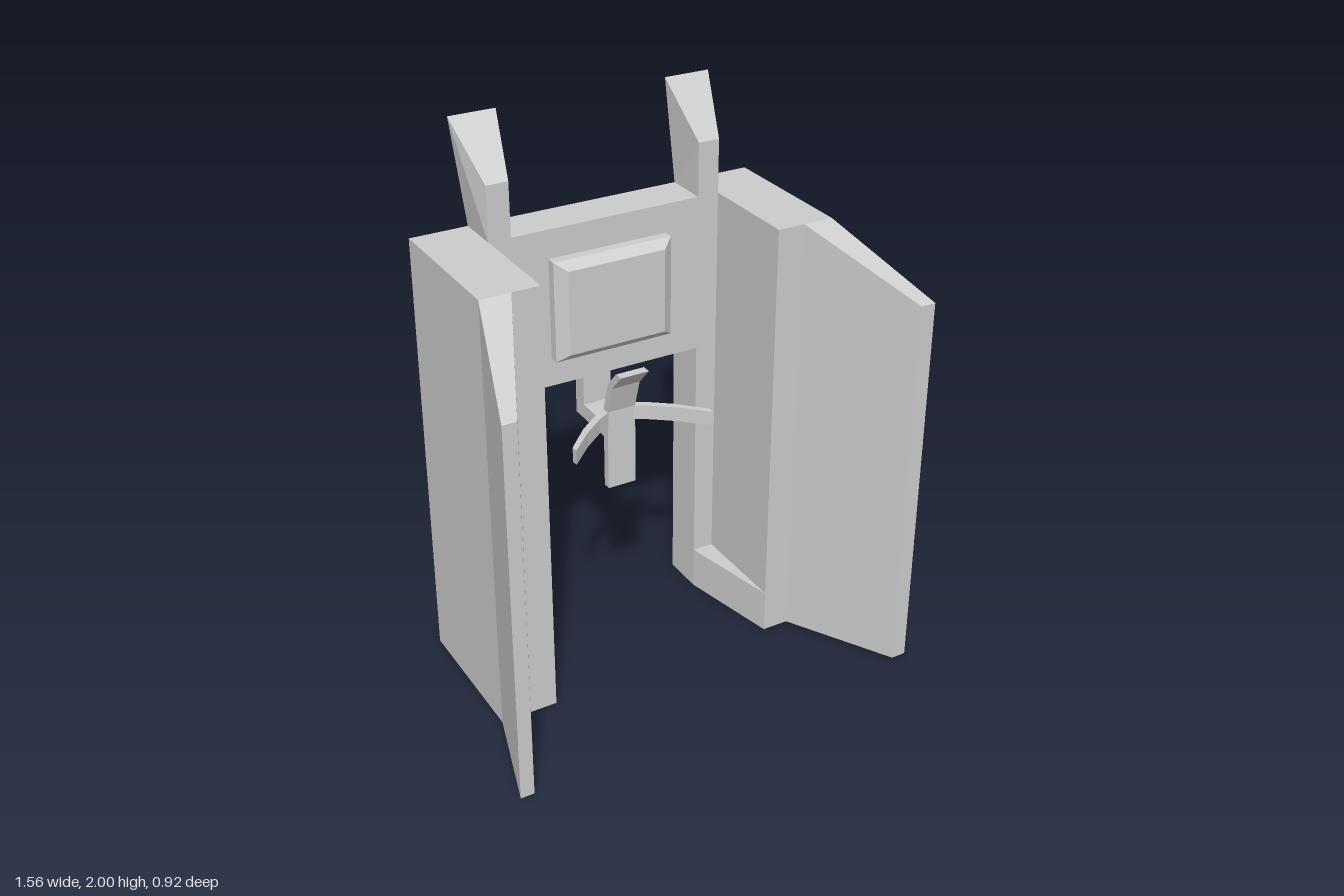
import * as THREE from 'three';

const CX = -0.022; // mirror axis of the body
const material = new THREE.MeshStandardMaterial({ color: 0xcccccc, flatShading: true });

function add(group, name, geometry) {
  const mesh = new THREE.Mesh(geometry, material);
  mesh.name = name;
  group.add(mesh);
  return mesh;
}

// Box spanned between two corners
function block(x0, y0, z0, x1, y1, z1) {
  return new THREE.BoxGeometry(x1 - x0, y1 - y0, z1 - z0)
    .translate((x0 + x1) / 2, (y0 + y1) / 2, (z0 + z1) / 2);
}

// Solid between two matching loops of [x, y, z]; winding is corrected for mirrored parts
function loft(a, b) {
  const n = a.length, tris = [];
  const v = (p) => new THREE.Vector3(...p);
  for (let i = 0; i < n; i++) {
    const j = (i + 1) % n;
    tris.push([a[i], a[j], b[j]], [a[i], b[j], b[i]]);
    if (i > 0 && i < n - 1) tris.push([a[0], a[i + 1], a[i]], [b[0], b[i], b[i + 1]]);
  }
  let volume = 0;
  for (const [p, q, r] of tris) volume += v(p).dot(v(q).cross(v(r)));
  const pos = tris.flatMap((t) => (volume < 0 ? [t[0], t[2], t[1]] : t)).flat();
  const g = new THREE.BufferGeometry();
  g.setAttribute('position', new THREE.Float32BufferAttribute(pos, 3));
  g.computeVertexNormals();
  return g;
}

function extrude(points, depth) {
  const shape = new THREE.Shape(points.map(([x, y]) => new THREE.Vector2(x, y)));
  return new THREE.ExtrudeGeometry(shape, { depth, bevelEnabled: false });
}

export function createModel() {
  const model = new THREE.Group();
  model.name = 'backFrame';

  // Back wall with its doorway
  const o = 0.645, w = 0.355;
  add(model, 'backWall', extrude([
    [CX - o, 0], [CX - w, 0], [CX - w, 1.035], [CX + w, 1.035],
    [CX + w, 0], [CX + o, 0], [CX + o, 1.615], [CX - o, 1.615],
  ], 0.16).translate(0, 0, -0.46));

  for (const s of [-1, 1]) {
    const side = new THREE.Group();
    side.name = s < 0 ? 'rightSide' : 'leftSide';
    model.add(side);
    const X = (d) => CX + s * d;

    // Side wall
    const wall = [[X(0.435), -0.3], [X(o), -0.3], [X(o), 0.08], [X(0.435), 0.08]];
    add(side, 'sideWall', loft(wall.map(([x, z]) => [x, 0, z]), wall.map(([x, z]) => [x, 1.615, z])));

    // Triangular foot step inside the wall
    const step = [[X(0.435), -0.3], [X(w), -0.3], [X(0.435), 0.08]];
    add(side, 'footStep', loft(step.map(([x, z]) => [x, 0, z]), step.map(([x, z]) => [x, 0.163, z])));

    // Flared front wing, tapering to the tip
    const tipIn = s < 0 ? 0.73 : 0.725, tipTop = s < 0 ? 1.4 : 1.42;
    const section = (a, b, top, z) => [[a, 0, z], [b, 0, z], [b, top, z], [a, top, z]];
    add(side, 'wing', loft(
      section(X(0.535), X(o), 1.615, 0.08),
      section(s * tipIn, s * 0.78, tipTop, 0.46)));

    // Horn: widens toward its slanted top
    const base = [[X(0.435), 1.61, -0.46], [X(w), 1.61, -0.46], [X(w), 1.61, -0.3], [X(0.435), 1.61, -0.3]];
    const top = [[X(0.485), 2, -0.46], [X(0.315), 2, -0.46], [X(w), 1.81, -0.3], [X(0.435), 1.81, -0.3]];
    add(side, 'horn', loft(base, top));

    // Curved lateral claw, drawn in plan (x, -z)
    add(side, 'sideClaw', extrude([
      [0.05, 0.25], [0.1, 0.222], [0.18, 0.16], [0.27, 0.066], [0.27, 0.04],
      [0.18, 0.128], [0.1, 0.19], [0.05, 0.22],
    ].map(([d, v]) => [X(d), v]).sort(() => 0), 0.055)
      .rotateX(-Math.PI / 2).translate(0, 0.865, 0));
  }

  // Raised panel with bevelled rim
  const rect = (x0, x1, y0, y1, z) => [[x0, y0, z], [x1, y0, z], [x1, y1, z], [x0, y1, z]];
  add(model, 'panelBase', block(-0.245, 1.14, -0.31, 0.205, 1.51, -0.265));
  add(model, 'panelFace', loft(
    rect(-0.245, 0.205, 1.14, 1.51, -0.265), rect(-0.205, 0.165, 1.17, 1.48, -0.235)));

  // Bracket under the doorway lintel
  add(model, 'bracketDrop', block(-0.075, 0.81, -0.46, 0.035, 1.035, -0.4));
  add(model, 'bracketArm', block(-0.075, 0.81, -0.4, 0.035, 0.865, -0.25));

  // Central claw: straight tail below, curved tip above, profile in (z, y)
  add(model, 'centreClaw', extrude([
    [-0.25, 0.61], [-0.22, 0.61], [-0.22, 0.92], [-0.185, 1.03], [-0.12, 1.1],
    [-0.155, 1.1], [-0.215, 1.035], [-0.25, 0.92],
  ], 0.11).rotateY(-Math.PI / 2).scale(1, 1, 1).translate(0.035, 0, 0));

  return model;
}
